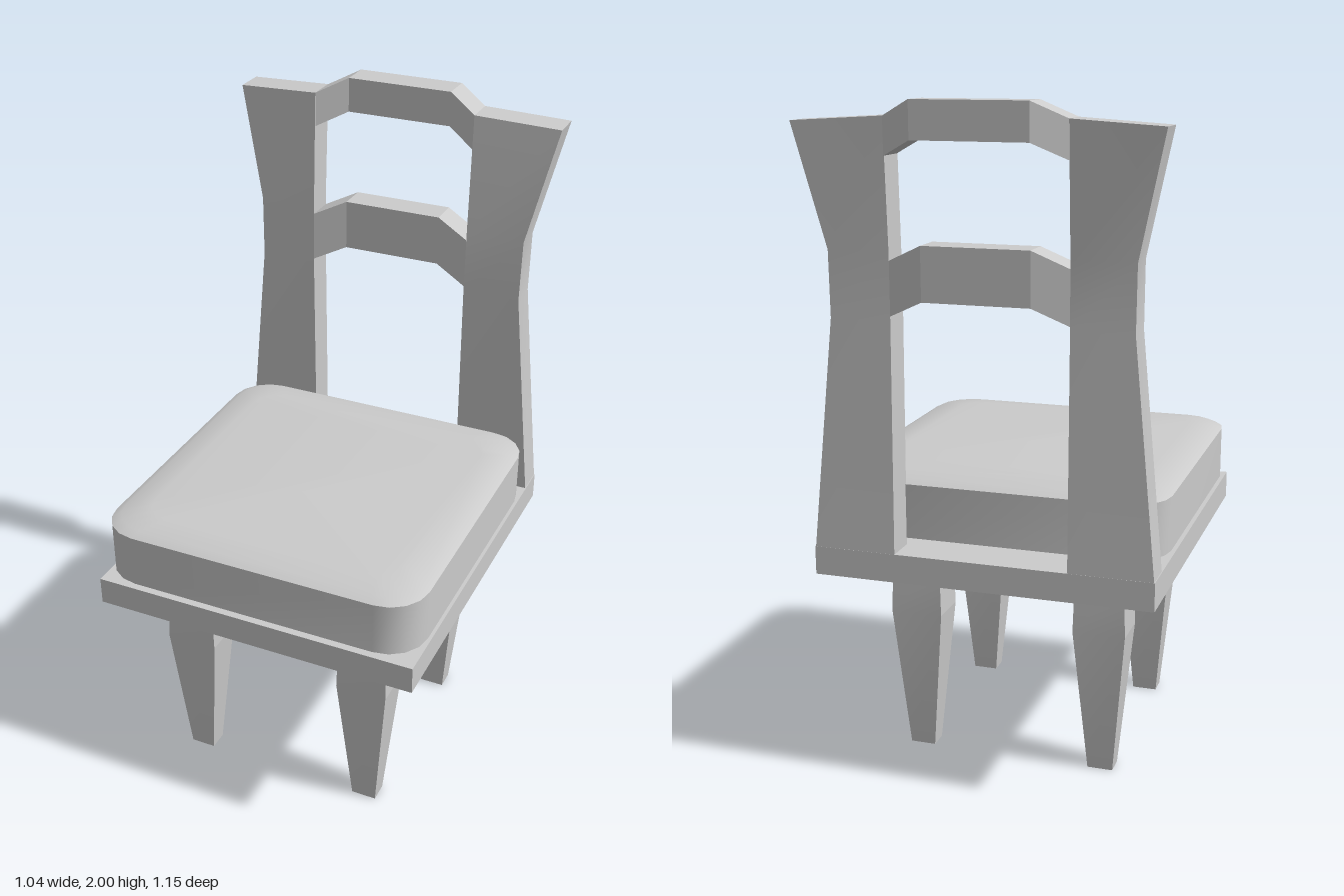
import * as THREE from 'three';
import { toCreasedNormals } from 'three/addons/utils/BufferGeometryUtils.js';

const material = new THREE.MeshStandardMaterial({ color: 0xcccccc });

// Solid through a stack of convex rings (counter-clockwise seen from the last ring's end)
function loft(rings, crease) {
  const n = rings[0].length;
  const last = rings.length - 1;
  const index = [];
  for (let i = 0; i < last; i++) {
    for (let j = 0; j < n; j++) {
      const k = (j + 1) % n;
      const a = i * n + j, b = i * n + k, c = b + n, d = a + n;
      index.push(a, b, c, a, c, d);
    }
  }
  for (let j = 1; j < n - 1; j++) {
    index.push(0, j + 1, j);
    index.push(last * n, last * n + j, last * n + j + 1);
  }
  const geometry = new THREE.BufferGeometry();
  geometry.setAttribute('position', new THREE.Float32BufferAttribute(rings.flat(2), 3));
  geometry.setIndex(index);
  return toCreasedNormals(geometry, crease);
}

// Rounded rectangle ring at height y
function roundedRing(y, halfX, z0, z1, r, steps) {
  const corners = [[halfX, z0, 0], [-halfX, z0, 1], [-halfX, z1, 2], [halfX, z1, 3]];
  const ring = [];
  for (const [x, z, quarter] of corners) {
    for (let s = 0; s <= steps; s++) {
      const a = (quarter + s / steps) * Math.PI / 2;
      ring.push([x - Math.sign(x) * r + Math.cos(a) * r, y, z + (z === z0 ? r : -r) - Math.sin(a) * r]);
    }
  }
  return ring;
}

export function createModel() {
  const chair = new THREE.Group();
  chair.name = 'chair';
  const add = (name, geometry) => {
    const mesh = new THREE.Mesh(geometry, material);
    mesh.name = name;
    chair.add(mesh);
    return mesh;
  };

  // Seat board
  add('seatBase', new THREE.BoxGeometry(1.01, 0.085, 1.105)).position.set(0, 0.6825, 0.0225);

  // Cushion: [height, inset]
  const cushion = [[0.728, 0.06], [0.745, 0], [0.908, 0], [0.922, 0.025], [0.931, 0.1]]
    .map(([y, inset]) => roundedRing(y, 0.503 - inset, -0.435 + inset, 0.575 - inset, 0.12 - inset * 0.4, 4));
  add('cushion', loft(cushion, 0.6));

  // Tapered legs: [height, half width, half depth]; one reaches the board with a flared top
  const legRows = [[0, 0.039, 0.03], [0.45, 0.08, 0.064], [0.615, 0.075, 0.06]];
  for (const x of [-0.287, 0.289]) {
    for (const z of [0.367, -0.23]) {
      const rows = x < 0 && z > 0 ? [...legRows, [0.642, 0.09, 0.073]] : legRows;
      const rings = rows.map(([y, w, d]) => [
        [x - w, y, z - d], [x - w, y, z + d], [x + w, y, z + d], [x + w, y, z - d],
      ]);
      add((z > 0 ? 'front' : 'back') + (x > 0 ? 'Left' : 'Right') + 'Leg', loft(rings, 0.1));
    }
  }

  // Back uprights: [outer x, outer y, outer front z, outer back z, inner y, inner front z, inner back z]
  const postRows = [
    [0.505, 0.70, -0.435, -0.53, 0.70, -0.435, -0.53],
    [0.436, 1.40, -0.422, -0.515, 1.40, -0.422, -0.515],
    [0.438, 1.59, -0.425, -0.515, 1.59, -0.425, -0.515],
    [0.518, 1.94, -0.46, -0.555, 1.955, -0.44, -0.535],
  ];
  const innerX = 0.257;
  for (const side of [1, -1]) {
    const rings = postRows.map(([ox, oy, of, ob, iy, nf, nb]) => {
      const ring = [[side * innerX, iy, nb], [side * innerX, iy, nf], [side * ox, oy, of], [side * ox, oy, ob]];
      return side > 0 ? ring : ring.reverse();
    });
    add(side > 0 ? 'leftUpright' : 'rightUpright', loft(rings, 0.4));
  }

  // Arched cross rails: bowed upward and backward in the middle
  function rail(name, midX, bottom, top, rise, front, back, bow) {
    const stations = [[-innerX, 0], [-midX, 1], [midX, 1], [innerX, 0]];
    const rings = stations.map(([x, t]) => {
      const y0 = bottom + rise * t, y1 = top + rise * t, zb = back - bow * t, zf = front - bow * t;
      return [[x, y0, zb], [x, y1, zb], [x, y1, zf], [x, y0, zf]];
    });
    add(name, loft(rings, 0.1));
  }
  rail('topRail', 0.165, 1.85, 1.955, 0.045, -0.44, -0.535, 0.045);
  rail('middleRail', 0.155, 1.413, 1.567, 0.048, -0.424, -0.515, 0.025);

  return chair;
}
